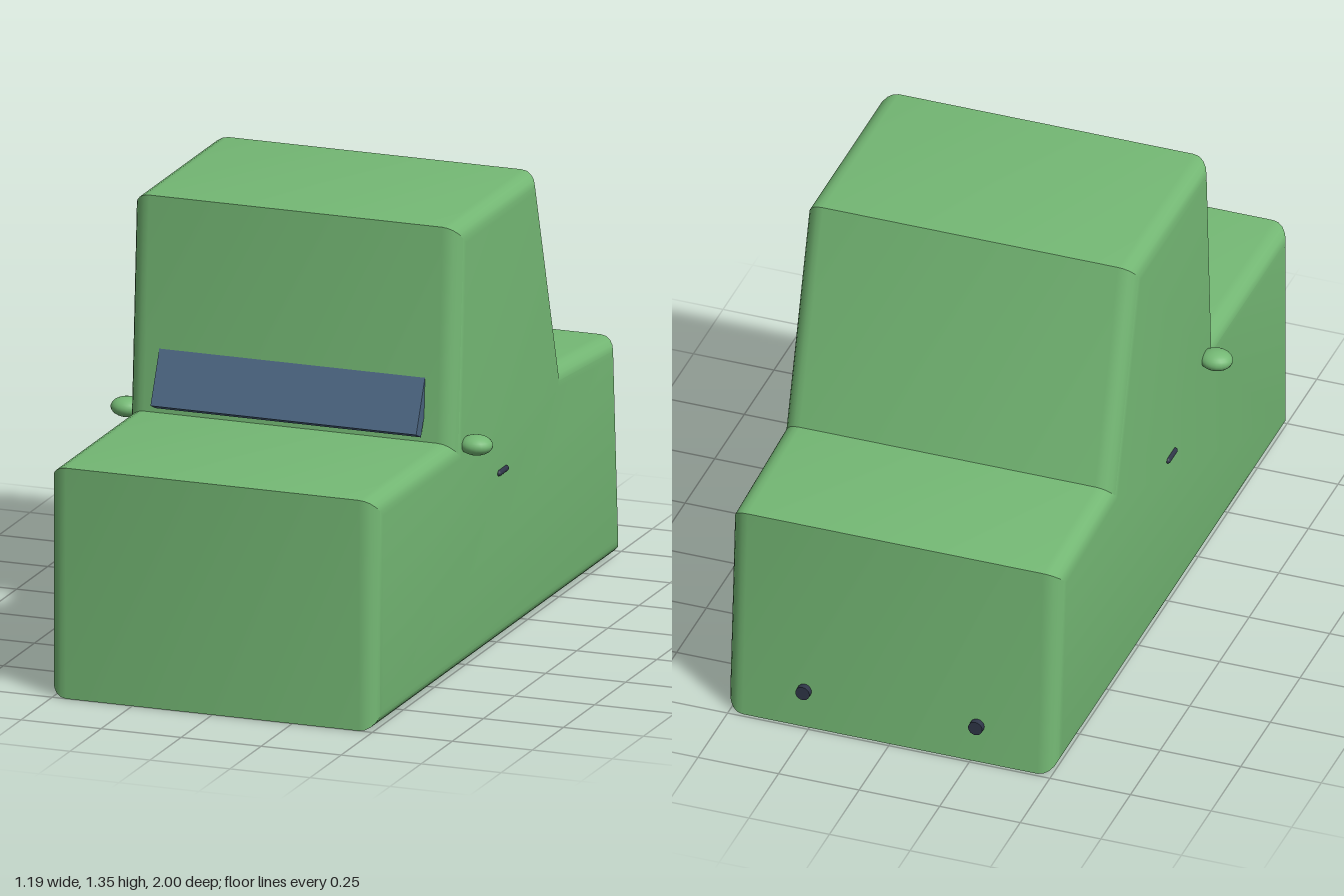
import * as THREE from 'three';
import { toCreasedNormals } from 'three/addons/utils/BufferGeometryUtils.js';

const paint = (name, color) => {
  const m = new THREE.MeshStandardMaterial({ color });
  m.name = name;
  return m;
};

export function createModel() {
  const green = paint('body green', 0x74b874);
  const glass = paint('slate blue', 0x4a6480);
  const dark = paint('dark trim', 0x2f3648);
  const model = new THREE.Group();
  model.name = 'car';

  const add = (name, geometry, material, x, y, z) => {
    const mesh = new THREE.Mesh(geometry, material);
    mesh.name = name;
    mesh.position.set(x, y, z);
    model.add(mesh);
    return mesh;
  };

  // Body: side profile (z, y) extruded across the width with rounded edges
  const profile = [
    [1, 0], [1, 0.7], [0.37, 0.7], [0.33, 1.345],
    [-0.31, 1.345], [-0.505, 0.7], [-0.945, 0.67], [-0.99, 0],
  ].map(([z, y]) => new THREE.Vector2(z, y));
  const bevel = 0.055;
  const depth = 1.025 - 2 * bevel;
  const body = new THREE.ExtrudeGeometry(new THREE.Shape(profile), {
    depth,
    bevelThickness: bevel,
    bevelSize: bevel,
    bevelOffset: -bevel,
    bevelSegments: 5,
  });
  body.translate(0, 0, -depth / 2);
  body.rotateY(-Math.PI / 2);
  add('body', toCreasedNormals(body, 0.5), green, 0, 0, 0);

  // Tilted panel at the foot of the windscreen
  const panel = add('windscreenPanel', new THREE.BoxGeometry(0.83, 0.22, 0.042), glass, 0, 0.828, 0.364);
  panel.rotation.x = -0.43;

  // Mirrors, door handles and tail lights on both sides
  for (const [side, s] of [['left', 1], ['right', -1]]) {
    const mirror = add(side + 'Mirror', new THREE.SphereGeometry(1, 20, 14), green, s * 0.545, 0.68, 0.28);
    mirror.scale.set(0.05, 0.03, 0.044);

    const handle = add(side + 'DoorHandle', new THREE.CapsuleGeometry(0.009, 0.057, 6, 12), dark, s * 0.513, 0.518, -0.012);
    handle.rotation.x = Math.PI / 2;

    const light = add(side + 'TailLight', new THREE.CylinderGeometry(0.022, 0.022, 0.03, 20), dark, s * 0.268, 0.12, -0.985);
    light.rotation.x = Math.PI / 2;
  }

  return model;
}
